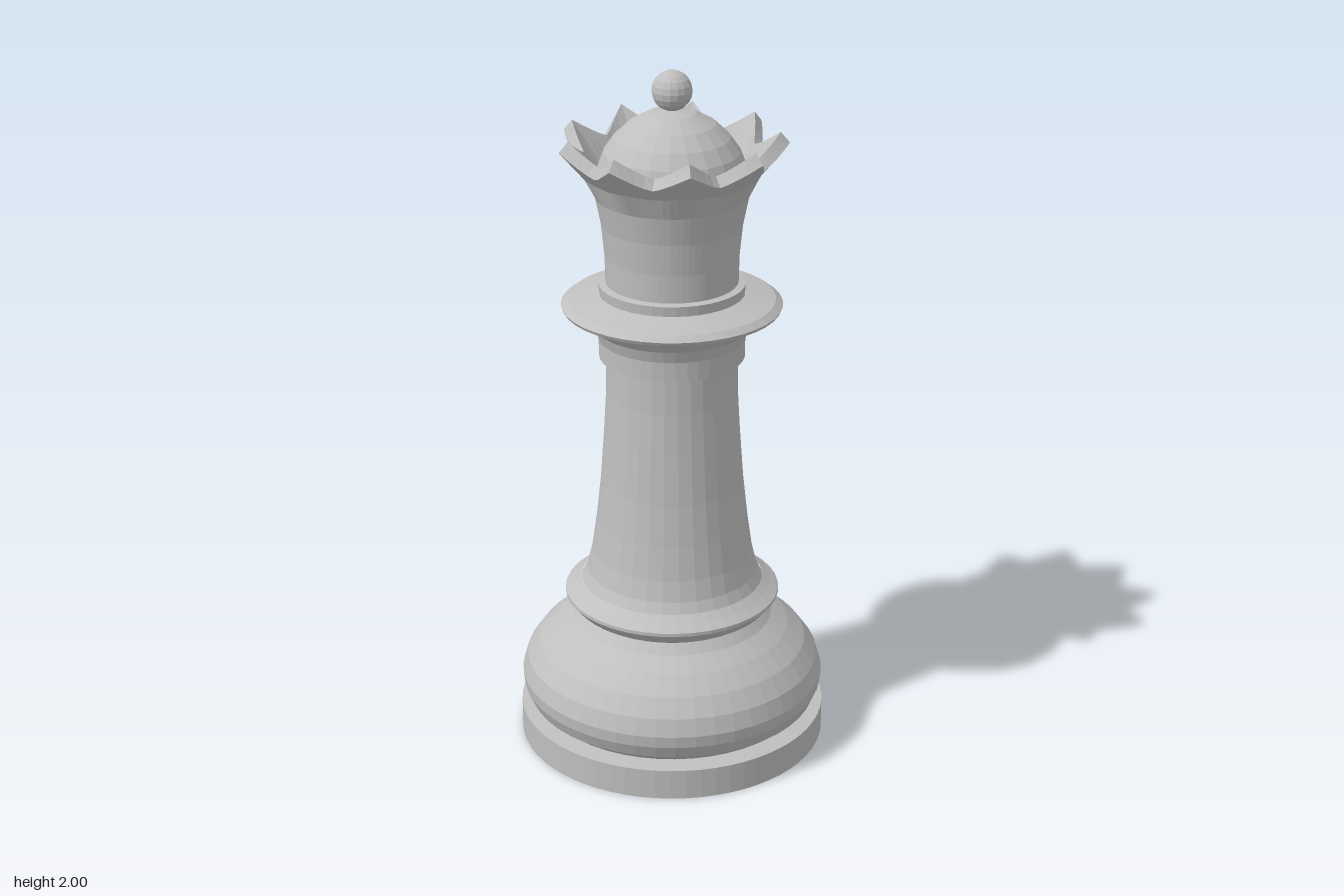
import * as THREE from 'three';

export function createModel() {
  const model = new THREE.Group();
  const stone = new THREE.MeshStandardMaterial({ color: 0xbfbfbf, flatShading: true });
  stone.name = 'grey stone';

  const add = (name, geometry) => {
    const mesh = new THREE.Mesh(geometry, stone);
    mesh.name = name;
    model.add(mesh);
    return mesh;
  };
  // Turned part: profile of [radius, height] from bottom to top
  const turned = (name, profile, sides = 40) =>
    add(name, new THREE.LatheGeometry(profile.map(([r, y]) => new THREE.Vector2(r, y)), sides, Math.PI));

  turned('baseDisc', [[0, 0], [0.445, 0], [0.445, 0.09], [0.38, 0.095]], 64);
  turned('baseBulge', [
    [0.385, 0.092], [0.42, 0.12], [0.437, 0.16], [0.44, 0.195], [0.425, 0.245],
    [0.39, 0.295], [0.34, 0.34], [0.29, 0.375], [0.265, 0.405],
  ], 48);
  turned('lowerCollar', [[0.262, 0.4], [0.285, 0.415], [0.31, 0.445], [0.31, 0.455], [0.285, 0.472], [0.262, 0.49]]);
  turned('stem', [
    [0.262, 0.488], [0.246, 0.52], [0.232, 0.58], [0.218, 0.68], [0.205, 0.8],
    [0.194, 0.95], [0.187, 1.07], [0.185, 1.19],
  ], 32);
  turned('upperCollar', [
    [0.183, 1.18], [0.205, 1.18], [0.206, 1.235], [0.218, 1.27], [0.245, 1.3],
    [0.305, 1.325], [0.31, 1.335], [0.29, 1.35], [0.205, 1.37],
  ]);
  turned('neckRing', [[0.203, 1.365], [0.206, 1.398], [0.18, 1.402]]);

  // Crown: a flared cup whose rim rises and spreads into nine points
  const points = 9, perPoint = 8;
  const cup = [[0.185, 1.395], [0.187, 1.48], [0.196, 1.57], [0.212, 1.65], [0.235, 1.71],
    [0.265, 1.745], [0.24, 1.77], [0.205, 1.7]];
  const crown = turned('crown', cup, points * perPoint).geometry;
  const pos = crown.attributes.position;
  const spread = { 4: [0.015, 0.008], 5: [0.055, 0.055], 6: [0.055, 0.06] };
  for (let i = 0; i < pos.count; i++) {
    const ring = i % cup.length, column = Math.floor(i / cup.length);
    if (!spread[ring]) continue;
    const toTip = Math.abs((column % perPoint) / perPoint - 0.5) * 2;
    const lift = Math.pow(toTip, 1.35);
    const [r, y] = cup[ring];
    const scale = (r + spread[ring][0] * lift) / r;
    pos.setXYZ(i, pos.getX(i) * scale, y + spread[ring][1] * lift, pos.getZ(i) * scale);
  }
  crown.computeVertexNormals();

  // Dome inside the crown and the ball on top
  turned('dome', [
    [0.21, 1.69], [0.205, 1.73], [0.188, 1.775], [0.16, 1.815], [0.12, 1.853], [0.065, 1.883], [0, 1.895],
  ], 22);
  add('finial', new THREE.SphereGeometry(0.056, 16, 10)).position.y = 1.944;

  return model;
}
